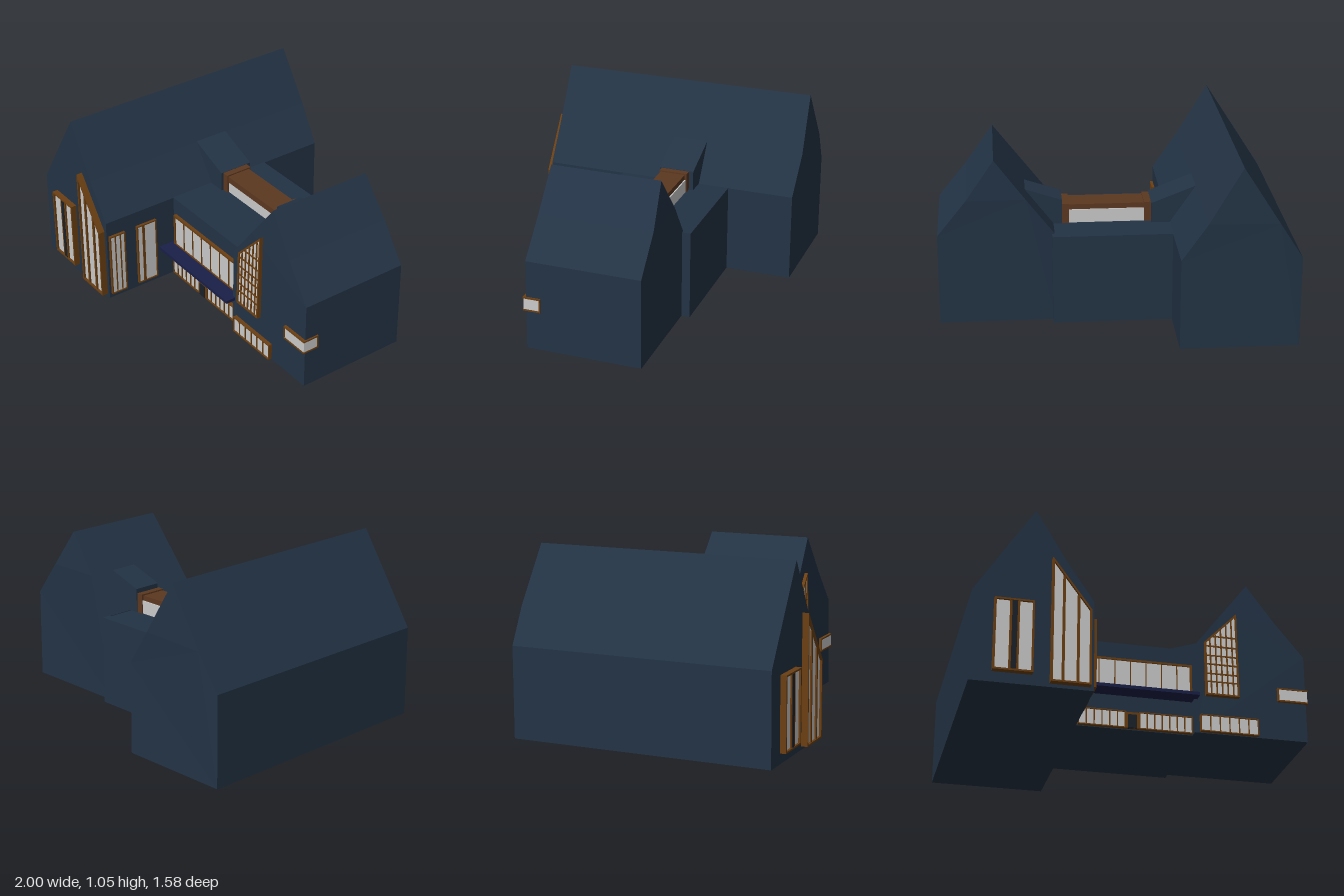
import * as THREE from 'three';

const mat = (color) => new THREE.MeshStandardMaterial({ color, flatShading: true });
const WALL = mat(0x233345), WOOD = mat(0x6b3f12), BEAM = mat(0x5c3820);
const NAVY = mat(0x1a1f48), DARK = mat(0x1b2129), GLASS = mat(0xcccccc);

function add(parent, name, geometry, material) {
  const mesh = new THREE.Mesh(geometry, material);
  mesh.name = name;
  parent.add(mesh);
  return mesh;
}

// Box given by its limits on each axis
function box(parent, name, material, x0, x1, y0, y1, z0, z1) {
  const mesh = add(parent, name, new THREE.BoxGeometry(x1 - x0, y1 - y0, z1 - z0), material);
  mesh.position.set((x0 + x1) / 2, (y0 + y1) / 2, (z0 + z1) / 2);
  return mesh;
}

const polygon = (pts) => new THREE.Shape(pts.map(([x, y]) => new THREE.Vector2(x, y)));

function extrude(shape, z0, z1) {
  const g = new THREE.ExtrudeGeometry(shape, { depth: z1 - z0, bevelEnabled: false });
  return g.translate(0, 0, z0);
}

// Gabled wing: extruded outline whose end walls shift with height
function wing(parent, name, profile, front, back) {
  const g = extrude(polygon(profile), -1, 1);
  const p = g.attributes.position;
  for (let i = 0; i < p.count; i++) {
    p.setZ(i, p.getZ(i) > 0 ? front(p.getY(i)) : back(p.getY(i)));
  }
  g.computeVertexNormals();
  add(parent, name, g, WALL);
}

// Framed window on the local z = 0 plane; the top may slope from yl to yr
function framedWindow(parent, name, { x0, x1, y0, yl, yr = yl, frame = 0.01, depth = 0.03, v = [], h = [], bar = 0.007 }) {
  const group = new THREE.Group();
  group.name = name;
  parent.add(group);
  const slope = (yr - yl) / (x1 - x0);
  const top = (x) => yl + slope * (x - x0);
  const drop = frame * Math.hypot(1, slope);
  const outline = polygon([[x0, y0], [x1, y0], [x1, yr], [x0, yl]]);
  const a = x0 + frame, b = x1 - frame;
  const inner = [[a, y0 + frame], [b, y0 + frame], [b, top(b) - drop], [a, top(a) - drop]];
  outline.holes.push(polygon(inner));
  add(group, 'windowFrame', extrude(outline, -0.01, depth), WOOD);
  add(group, 'windowGlass', extrude(polygon(inner), -0.01, depth * 0.65), GLASS);
  for (const x of v) {
    box(group, 'mullion', WOOD, x - bar / 2, x + bar / 2, y0 + frame, top(x) - drop, 0, depth * 0.9);
  }
  for (const y of h) {
    const start = slope > 0 && y > yl ? x0 + (y - yl) / slope : x0;
    box(group, 'glazingBar', WOOD, start + frame, b, y - bar / 2, y + bar / 2, 0, depth * 0.85);
  }
  return group;
}

// Evenly spaced interior bar positions
const spaced = (a, b, n) => Array.from({ length: n - 1 }, (_, i) => a + ((b - a) * (i + 1)) / n);

// Ground floor strip of panes with thin dark bars
function paneStrip(parent, name, x0, x1, z, n) {
  const group = new THREE.Group();
  group.name = name;
  parent.add(group);
  box(group, 'stripGlass', GLASS, x0, x1, 0.01, 0.1, z - 0.01, z + 0.014);
  box(group, 'stripHead', WOOD, x0, x1, 0.1, 0.106, z - 0.01, z + 0.022);
  box(group, 'stripSill', WOOD, x0, x1, 0.004, 0.01, z - 0.01, z + 0.022);
  for (const x of [x0, ...spaced(x0, x1, n), x1]) {
    box(group, 'stripBar', WOOD, x - 0.003, x + 0.003, 0.005, 0.104, z - 0.01, z + 0.02);
  }
}

export function createModel() {
  const house = new THREE.Group();
  house.name = 'house';

  // Main volumes
  wing(house, 'longWing',
    [[-1, 0], [-0.335, 0], [-0.335, 0.525], [-0.48, 0.74], [-0.665, 1.05], [-0.87, 0.73], [-1, 0.525]],
    () => 0.75,
    (y) => (y > 0.6 && y < 0.9 ? -0.795 : -0.783));
  wing(house, 'shortWing',
    [[0.33, 0], [0.99, 0], [0.99, 0.53], [0.825, 0.74], [0.665, 0.97], [0.49, 0.74], [0.33, 0.53]],
    (y) => (y > 0.9 ? 0.305 : y > 0.6 ? 0.317 : y > 0.3 ? 0.327 : 0.332),
    (y) => (y > 0.9 ? -0.333 : y > 0.6 ? -0.348 : -0.34));
  box(house, 'middleBlock', WALL, -0.34, 0.345, 0, 0.527, -0.39, 0.28);

  // Long wing front windows
  const longFront = new THREE.Group();
  longFront.name = 'longWingFrontWindows';
  longFront.position.z = 0.75;
  house.add(longFront);
  framedWindow(longFront, 'pairWindow', { x0: -0.88, x1: -0.665, y0: 0.06, yl: 0.48, depth: 0.035, v: [-0.791, -0.75], bar: 0.012 });
  box(longFront, 'pairDivider', DARK, -0.785, -0.756, 0.07, 0.47, 0, 0.033);
  framedWindow(longFront, 'tallSlopedWindow', { x0: -0.572, x1: -0.355, y0: 0.02, yl: 0.755, yr: 0.46, depth: 0.038, v: [-0.507, -0.427], bar: 0.014 });

  // Long wing windows facing the forecourt
  const longSide = new THREE.Group();
  longSide.name = 'longWingSideWindows';
  longSide.position.x = -0.335;
  longSide.rotation.y = Math.PI / 2;
  house.add(longSide);
  framedWindow(longSide, 'sideWindow', { x0: -0.55, x1: -0.415, y0: 0.03, yl: 0.432, depth: 0.017, v: [-0.505], bar: 0.016, frame: 0.007 });
  framedWindow(longSide, 'sideWindow', { x0: -0.737, x1: -0.632, y0: 0.03, yl: 0.432, depth: 0.017, v: [-0.7, -0.665], frame: 0.007 });

  // Upper window band and canopy of the middle block
  const band = framedWindow(house, 'upperWindowBand', { x0: -0.31, x1: 0.328, y0: 0.215, yl: 0.425, depth: 0.02, frame: 0.012, v: spaced(-0.3, 0.33, 7), bar: 0.005 });
  band.position.z = 0.28;
  box(house, 'canopy', NAVY, -0.335, 0.348, 0.203, 0.222, 0.27, 0.39);

  // Ground floor windows and door
  paneStrip(house, 'groundWindowsLeftOfDoor', -0.325, -0.06, 0.28, 6);
  paneStrip(house, 'groundWindowsRightOfDoor', 0.022, 0.325, 0.28, 7);
  paneStrip(house, 'shortWingGroundWindows', 0.362, 0.695, 0.333, 6);
  box(house, 'doorFrame', WOOD, -0.06, 0.022, 0.005, 0.1, 0.27, 0.3);
  box(house, 'doorPanel', DARK, -0.044, 0.006, 0.005, 0.085, 0.28, 0.305);

  // Sloped lattice window, leaning back with the short wing's gable
  const lattice = framedWindow(house, 'latticeWindow', {
    x0: 0.395, x1: 0.59, y0: 0, yl: 0.335, yr: 0.535, depth: 0.022, bar: 0.008,
    v: spaced(0.395, 0.59, 6), h: [0.085, 0.135, 0.195, 0.25, 0.31, 0.375],
  });
  lattice.position.set(0, 0.228, 0.333);
  lattice.rotation.x = -0.035;

  // Corner window wrapping round the short wing
  box(house, 'cornerGlass', GLASS, 0.828, 0.996, 0.24, 0.308, 0.252, 0.343);
  for (const y of [0.232, 0.306]) {
    box(house, 'cornerWindowRail', WOOD, 0.82, 0.999, y, y + 0.009, 0.246, 0.346);
  }
  box(house, 'cornerWindowPost', WOOD, 0.82, 0.828, 0.232, 0.315, 0.3, 0.346);
  box(house, 'cornerWindowPost', WOOD, 0.98, 0.999, 0.232, 0.315, 0.244, 0.252);

  // Glazed rooftop gallery
  const gallery = new THREE.Group();
  gallery.name = 'rooftopGallery';
  house.add(gallery);
  box(gallery, 'galleryGlass', GLASS, -0.2, 0.25, 0.52, 0.605, -0.172, -0.02);
  box(gallery, 'galleryRoof', BEAM, -0.23, 0.28, 0.597, 0.635, -0.165, -0.015);
  for (const x of [-0.232, 0.24]) {
    box(gallery, 'galleryPost', BEAM, x, x + 0.042, 0.52, 0.643, -0.178, -0.008);
  }

  // Sloping roof links from the gallery into each wing
  add(house, 'longWingLink', extrude(polygon([[-0.485, 0.52], [-0.23, 0.52], [-0.23, 0.645], [-0.485, 0.745]]), -0.205, 0.005), WALL);
  add(house, 'shortWingLink', extrude(polygon([[0.28, 0.52], [0.49, 0.52], [0.49, 0.74], [0.28, 0.67]]), -0.183, -0.015), WALL);

  return house;
}
